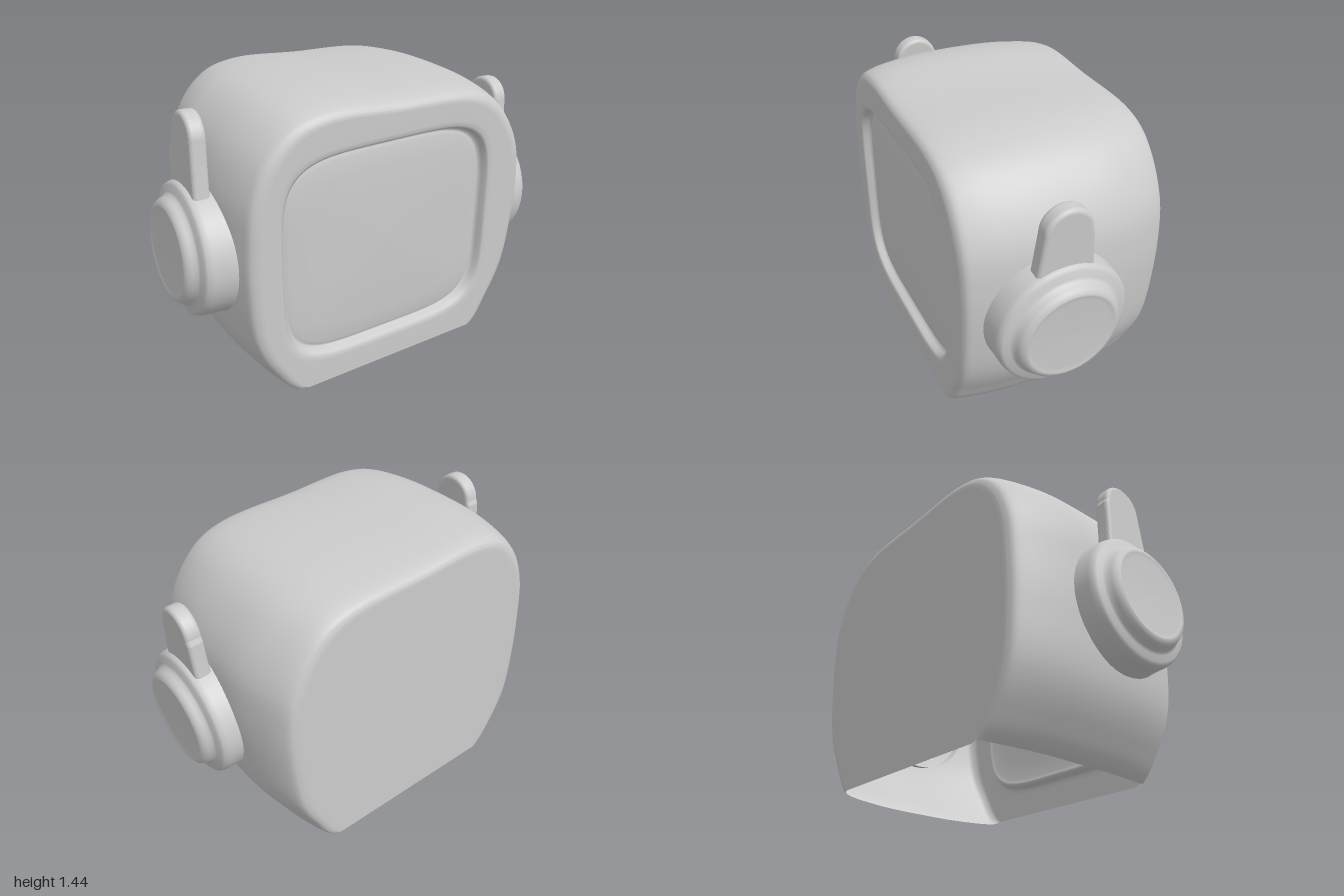
import * as THREE from 'three';

const material = new THREE.MeshStandardMaterial({ color: 0xcccccc, side: THREE.DoubleSide });
const CENTRE_Y = 0.7;
const SIDES = [{ s: 1, y: 0.655, top: 0.6 }, { s: -1, y: 0.72, top: 0.66 }];
const DIAL_Z = 0.1;

function part(name, geometry) {
  const mesh = new THREE.Mesh(geometry, material);
  mesh.name = name;
  return mesh;
}

// Widest cross-section of the shell, counterclockwise from the lower right
function shellOutline(count) {
  const pts = [
    [0.57, 0], [0.69, 0.16], [0.78, 0.34], [0.825, 0.6], [0.835, 0.85], [0.81, 1.04],
    [0.72, 1.215], [0.6, 1.335], [0.44, 1.395], [0, 1.42], [-0.39, 1.437], [-0.57, 1.39],
    [-0.71, 1.26], [-0.79, 1.07], [-0.815, 0.85], [-0.82, 0.6], [-0.79, 0.32], [-0.7, 0.14],
    [-0.57, 0], [-0.3, 0], [0, 0], [0.3, 0],
  ].map(([x, y]) => new THREE.Vector3(x, y, 0));
  const curve = new THREE.CatmullRomCurve3(pts, true);
  return Array.from({ length: count }, (_, i) => {
    const p = curve.getPoint(i / count);
    return new THREE.Vector2(p.x, Math.max(0, p.y));
  });
}

// Rounded-square screen edge in the direction of a shell point
function screenPoint(p, scale) {
  const a = Math.atan2(p.y - CENTRE_Y, p.x);
  const c = Math.cos(a), s = Math.sin(a), n = 4.6;
  const r = scale * Math.pow(Math.abs(c / 0.575) ** n + Math.abs(s / 0.52) ** n, -1 / n);
  return [-0.025 + r * c, 0.69 + r * s];
}

// Shell, bezel and screen as one grid of loops from back centre to front centre
function shellGeometry() {
  const outline = shellOutline(176);
  const n = outline.length;
  const section = (sx, sy) => (p) => {
    const up = p.y - CENTRE_Y;
    return [p.x * sx, CENTRE_Y + up * (up > 0 ? sy : 1 - (1 - sy) * 0.3)];
  };
  // z, width scale, height scale
  const keys = [
    [-0.515, 0.84, 0.9], [-0.5, 0.885, 0.935], [-0.45, 0.92, 0.96], [-0.35, 0.96, 0.978],
    [-0.2, 0.995, 0.993], [0, 1, 1], [0.2, 0.995, 0.995], [0.35, 0.97, 0.98],
    [0.44, 0.945, 0.962], [0.49, 0.925, 0.94], [0.51, 0.89, 0.91], [0.515, 0.86, 0.885],
  ];
  const profile = new THREE.CatmullRomCurve3(keys.map((k) => new THREE.Vector3(...k)));
  const rings = [];
  for (const t of [0, 0.5, 0.97]) {
    rings.push({ z: -0.515, at: (p) => section(0.84, 0.9)(p).map((v, j) => (j ? CENTRE_Y + (v - CENTRE_Y) * t : v * t)) });
  }
  const steps = (keys.length - 1) * 4;
  for (let k = 0; k <= steps; k++) {
    const v = profile.getPoint(k / steps);
    rings.push({ z: v.x, at: section(v.y, v.z), wall: true });
  }
  for (const [z, scale] of [
    [0.515, 1.06], [0.513, 1.02], [0.505, 1], [0.48, 0.988], [0.465, 0.97], [0.466, 0.95],
    [0.474, 0.92], [0.482, 0.75], [0.488, 0.4], [0.49, 0],
  ]) rings.push({ z, at: (p) => screenPoint(p, scale) });

  const pos = [], index = [];
  for (const r of rings) for (const p of outline) pos.push(...r.at(p), r.z);
  const inDial = (v) => {
    const x = pos[v * 3];
    const side = SIDES[x > 0 ? 0 : 1];
    return Math.abs(x) > 0.7 && Math.hypot(pos[v * 3 + 1] - side.y, pos[v * 3 + 2] - DIAL_Z) < 0.29;
  };
  for (let k = 0; k < rings.length - 1; k++) {
    for (let i = 0; i < n; i++) {
      const j = (i + 1) % n;
      const a = k * n + i, b = k * n + j, c = b + n, d = a + n;
      if (rings[k].wall && rings[k + 1].wall) {
        // open underside, and openings into the hollow side dials
        if (outline[i].y < 0.012 && outline[j].y < 0.012) continue;
        if ([a, b, c, d].every(inDial)) continue;
      }
      index.push(a, b, c, a, c, d);
    }
  }
  const g = new THREE.BufferGeometry();
  g.setAttribute('position', new THREE.Float32BufferAttribute(pos, 3));
  g.setIndex(index);
  g.computeVertexNormals();
  return g;
}

// Stepped round dial, turned about its outward axis
function dialGeometry(s) {
  const pts = [
    [0.335, -0.11], [0.325, -0.06], [0.322, 0.03], [0.315, 0.055], [0.3, 0.066], [0.272, 0.072],
    [0.258, 0.08], [0.25, 0.1], [0.24, 0.118], [0.222, 0.129], [0.21, 0.129], [0.19, 0.123], [0, 0.12],
  ].map(([r, h]) => new THREE.Vector2(r, h));
  return new THREE.LatheGeometry(pts, 72).rotateZ(-s * Math.PI / 2);
}

// Upright tab with a round top
function tabGeometry(top) {
  const bevel = 0.02, r = 0.115 - bevel;
  const shape = new THREE.Shape();
  shape.moveTo(-0.125, 0.24);
  shape.lineTo(0.125, 0.24);
  shape.quadraticCurveTo(0.112, 0.34, r + 0.01, top - 0.14);
  shape.absarc(0, top - bevel - r, r, 0, Math.PI, false);
  shape.quadraticCurveTo(-0.112, 0.34, -0.125, 0.24);
  const g = new THREE.ExtrudeGeometry(shape, {
    depth: 0.04, bevelSize: bevel, bevelThickness: bevel, bevelSegments: 4, curveSegments: 24,
  });
  return g.translate(0, 0, -0.02).rotateY(Math.PI / 2);
}

export function createModel() {
  const model = new THREE.Group();
  model.name = 'helmet';
  model.add(part('shell', shellGeometry()));
  for (const { s, y, top } of SIDES) {
    const ear = new THREE.Group();
    ear.name = s > 0 ? 'leftEar' : 'rightEar';
    ear.add(part('dial', dialGeometry(s)), part('antenna', tabGeometry(top)));
    ear.position.set(s * 0.86, y, DIAL_Z);
    ear.rotation.z = -0.05; // both ears share the same slight lean
    model.add(ear);
  }
  return model;
}
